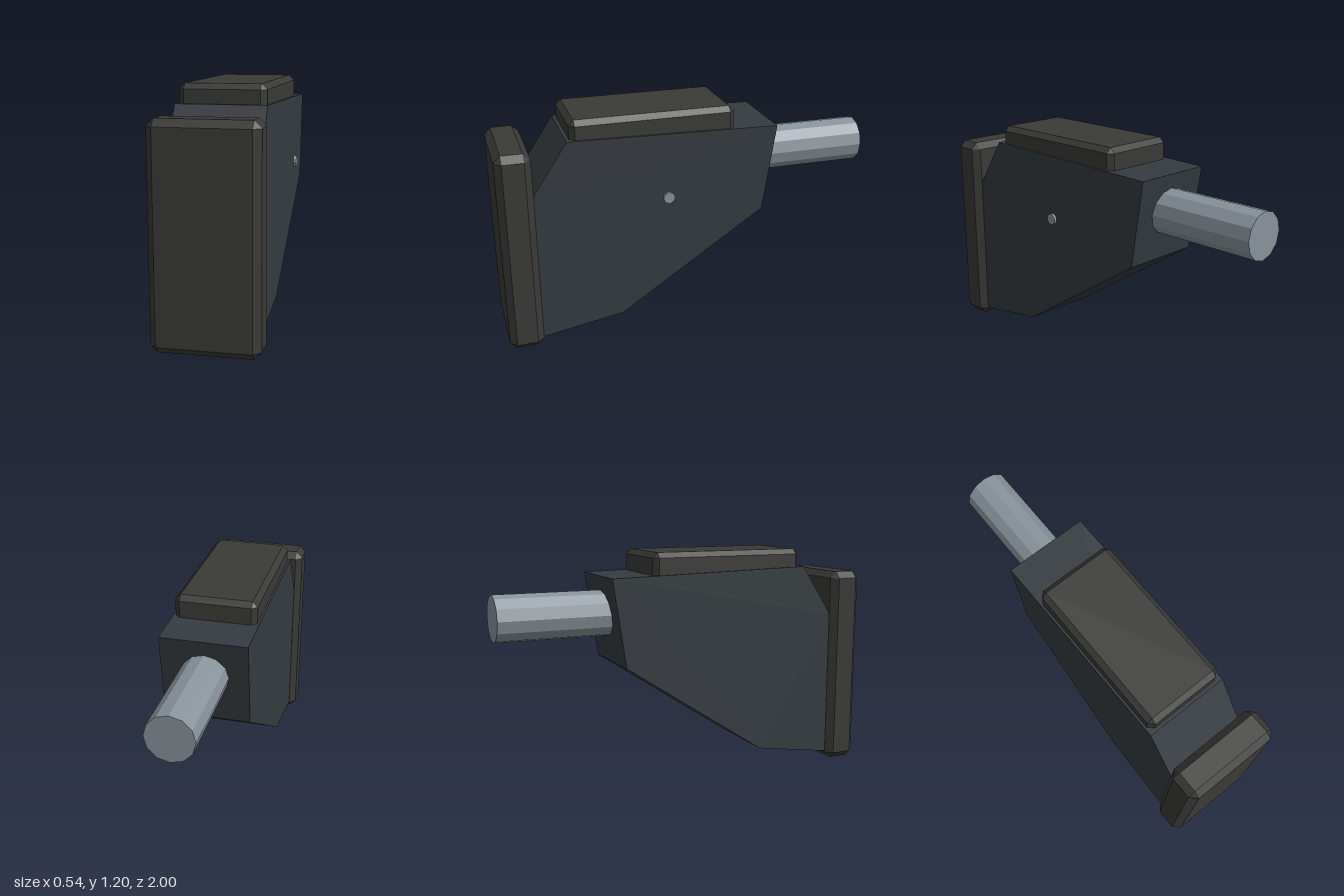
import * as THREE from 'three';
import { ConvexGeometry } from 'three/addons/geometries/ConvexGeometry.js';

const CX = -0.0135; // centre line of the body

const material = (color) => new THREE.MeshStandardMaterial({ color, flatShading: true });

// Box with every edge cut by a chamfer c
function chamferBox(w, h, d, c) {
  const half = [w / 2, h / 2, d / 2];
  const points = [];
  for (const sx of [-1, 1]) for (const sy of [-1, 1]) for (const sz of [-1, 1]) {
    for (let face = 0; face < 3; face++) {
      const p = half.map((v, i) => (i === face ? v : v - c));
      points.push(new THREE.Vector3(p[0] * sx, p[1] * sy, p[2] * sz));
    }
  }
  return new ConvexGeometry(points);
}

export function createModel() {
  const model = new THREE.Group();
  const rubber = material(0x3a3a37);
  const shell = material(0x353b40);
  const steel = material(0x88939b);

  const add = (name, geometry, mat, x, y, z) => {
    const mesh = new THREE.Mesh(geometry, mat);
    mesh.name = name;
    mesh.position.set(x, y, z);
    model.add(mesh);
    return mesh;
  };

  // Wedge body: side profile in (z, y), extruded across the width
  const profile = [
    [0.83, 0.04], [0.83, 0.825], [0.645, 1.1],
    [-0.45, 1.075], [-0.38, 0.62], [0.395, 0.11],
  ];
  const shape = new THREE.Shape(profile.map(([z, y]) => new THREE.Vector2(-z, y)));
  const width = 0.443;
  const bodyGeometry = new THREE.ExtrudeGeometry(shape, { depth: width, bevelEnabled: false });
  bodyGeometry.translate(0, 0, -width / 2).rotateY(Math.PI / 2);
  add('body', bodyGeometry, shell, CX, 0, 0);

  // Padded end plate and top cushion
  add('endPad', chamferBox(0.515, 1.065, 0.178, 0.035), rubber, CX, 0.5325, 0.911);
  add('topCushion', chamferBox(0.42, 0.165, 0.85, 0.027), rubber, CX, 1.1125, 0.203);

  // Mounting rod, seated inside the body
  const rod = new THREE.CylinderGeometry(0.12, 0.12, 0.7, 12).rotateX(Math.PI / 2);
  add('rod', rod, steel, CX - 0.001, 0.88, -0.65);

  // Small disc standing just off the side
  const pin = new THREE.CylinderGeometry(0.03, 0.03, 0.015, 12).rotateZ(Math.PI / 2);
  add('sidePin', pin, steel, 0.262, 0.77, 0.15);

  return model;
}
